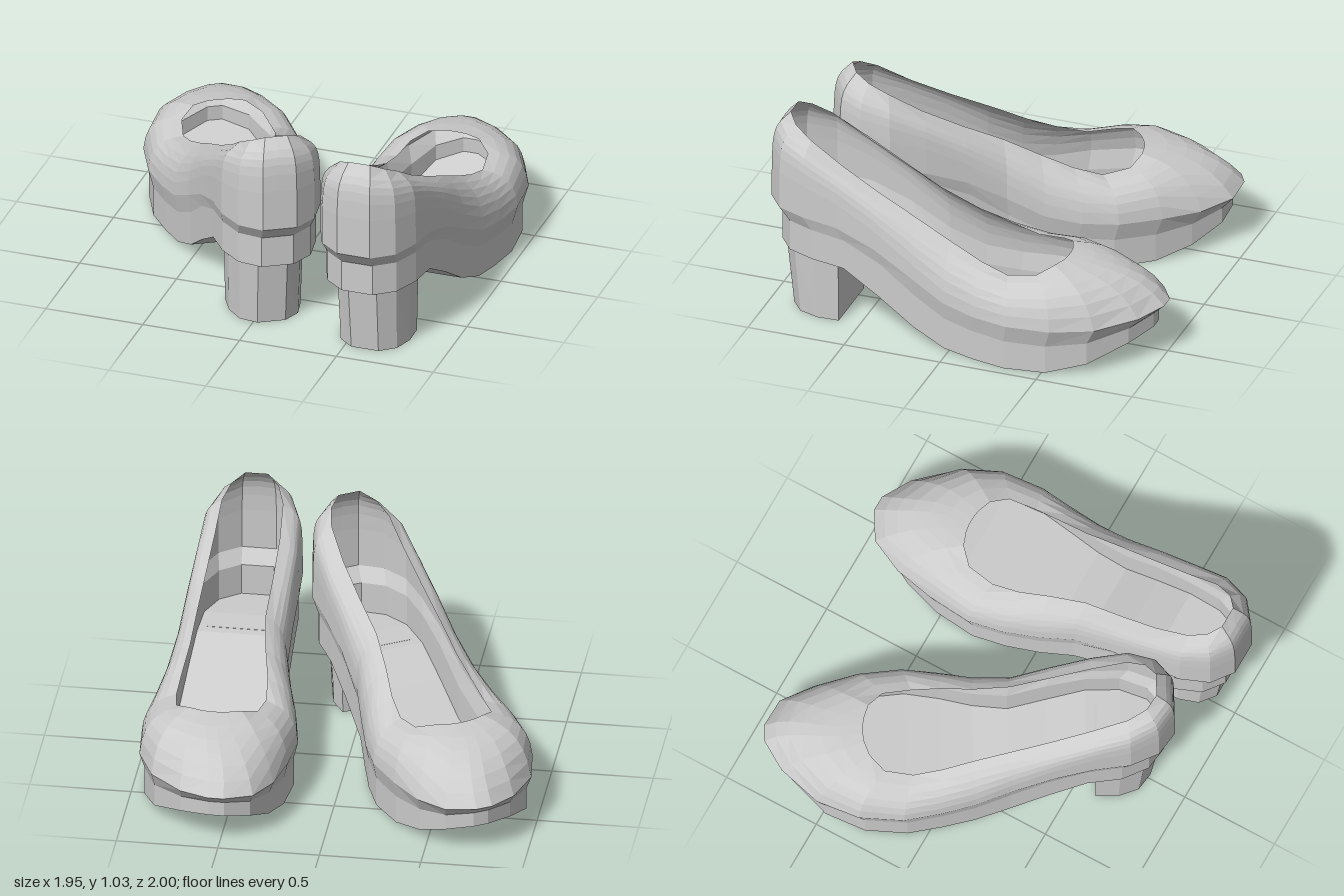
import * as THREE from 'three';

const material = new THREE.MeshStandardMaterial({ color: 0xcccccc, flatShading: true, side: THREE.DoubleSide });

// Half outline of the shoe, from the middle of the heel to the tip of the toe:
// half width, z, sole top y, widest y, bulge y, bulge inset, opening half width, opening y, opening z
const ROWS = [
  [0, 1.0, 0.50, 0.57, 0.96, 0, 0, 1.035, 0.91],
  [0.085, 1.0, 0.50, 0.57, 0.95, 0, 0.055, 1.035, 0.91],
  [0.19, 0.92, 0.50, 0.57, 0.93, 0, 0.115, 1.0, 0.86],
  [0.247, 0.78, 0.50, 0.57, 0.89, 0, 0.15, 0.95, 0.77],
  [0.257, 0.6, 0.48, 0.55, 0.80, 0, 0.16, 0.845, 0.6],
  [0.265, 0.4, 0.40, 0.48, 0.69, 0, 0.165, 0.74, 0.4],
  [0.275, 0.2, 0.27, 0.37, 0.57, 0, 0.168, 0.645, 0.2],
  [0.315, 0.02, 0.185, 0.28, 0.48, 0, 0.185, 0.555, 0.02],
  [0.355, -0.15, 0.16, 0.25, 0.43, 0.03, 0.21, 0.485, -0.14],
  [0.385, -0.33, 0.15, 0.245, 0.41, 0.06, 0.22, 0.44, -0.28],
  [0.365, -0.55, 0.15, 0.245, 0.44, 0.1, 0.20, 0.455, -0.42],
  [0.30, -0.75, 0.165, 0.245, 0.455, 0.2, 0.13, 0.488, -0.49],
  [0.18, -0.92, 0.2, 0.26, 0.455, 0.27, 0.06, 0.49, -0.515],
  [0.04, -1.0, 0.225, 0.275, 0.455, 0.3, 0.02, 0.49, -0.52],
];
// Underside height of the sole at each row
const UNDERSIDE = [0.34, 0.34, 0.34, 0.34, 0.325, 0.215, 0.09, 0.02, 0.005, 0, 0.005, 0.05, 0.12, 0.15];

const N = ROWS.length;
const { lerp, smoothstep } = THREE.MathUtils;

// Sideways curve of the centre line: waist outwards, toe inwards
function bend(z) {
  const waist = 0.02 * Math.exp(-Math.pow((z - 0.2) / 0.25, 2));
  return waist - 0.075 * smoothstep(-z, 0.6, 1.0);
}

// Full closed ring from a rule giving [half width, y, z] for each row
function ring(rule) {
  const half = ROWS.map((row, i) => rule(row, i));
  const right = half.map(([x, y, z]) => [x + bend(z), y, z]);
  const left = half.slice(1).map(([x, y, z]) => [-x + bend(z), y, z]).reverse();
  return [...right, ...left];
}

// Surface through stacked rings, optionally with a floor across the lowest; side -1 mirrors it
function loft(name, rings, side, floor) {
  const count = 2 * N - 1;
  const positions = rings.flat().flatMap(([x, y, z]) => [x * side, y, z]);
  const index = [];
  const quad = (a, b, c, d) => (side > 0
    ? index.push(a, b, c, a, c, d)
    : index.push(a, c, b, a, d, c));
  for (let k = 0; k < rings.length - 1; k++) {
    for (let j = 0; j < count; j++) {
      const a = k * count + j, b = k * count + (j + 1) % count;
      quad(a, b, b + count, a + count);
    }
  }
  if (floor) {
    for (let i = 0; i < N - 1; i++) quad(i, (count - i) % count, count - i - 1, i + 1);
  }
  const geometry = new THREE.BufferGeometry();
  geometry.setAttribute('position', new THREE.Float32BufferAttribute(positions, 3));
  geometry.setIndex(index);
  geometry.computeVertexNormals();
  const mesh = new THREE.Mesh(geometry, material);
  mesh.name = name;
  return mesh;
}

// Outline drawn in a little, used by the sole and the foot of the upper
const inset = (y) => (row, i) => [row[0] * 0.94, y(row, i), row[1] * 0.945];

// Upper: each row curves from the widest line over the bulge to the opening, fuller at the heel
function makeUpper(side) {
  const rings = [ring(inset((row) => row[2]))];
  const steps = 6;
  for (let s = 0; s <= steps; s++) {
    const t = s / steps;
    rings.push(ring(([w, z, , yWide, yBulge, k, tw, ty, tz]) => {
      const fullness = lerp(1.15, 2.8, smoothstep(z, 0, 0.7));
      const a = (1 - t) ** 2, b = 2 * t * (1 - t) * fullness, c = t * t;
      const mix = (p, q, r) => (a * p + b * q + c * r) / (a + b + c);
      return [
        mix(w, lerp(w, tw, k), tw),
        mix(yWide, yBulge, ty),
        mix(z, lerp(z, tz, k), tz),
      ];
    }));
  }
  return loft('upper', rings, side, false);
}

// Sole: a tray open to the inside of the shoe
function makeSole(side) {
  const bottom = ring(inset((row, i) => UNDERSIDE[i]));
  const top = ring(inset((row) => row[2]));
  return loft('sole', [bottom, top], side, true);
}

// D-shaped block, flat at the front and narrowing slightly to the ground
function makeHeel(side) {
  const front = 0.61, height = 0.33;
  const half = [[0.175, front], [0.178, 0.72], [0.145, 0.82], [0.07, 0.88]];
  const outline = [...half, ...half.map(([x, z]) => [-x, z]).reverse()];
  const shape = new THREE.Shape(outline.map(([x, z]) => new THREE.Vector2(x, -z)));
  const geometry = new THREE.ExtrudeGeometry(shape, { depth: height, bevelEnabled: false });
  geometry.rotateX(-Math.PI / 2);
  const p = geometry.attributes.position;
  for (let i = 0; i < p.count; i++) {
    const t = p.getY(i) / height;
    p.setX(i, p.getX(i) * (1 + 0.04 * t));
    p.setZ(i, front + (p.getZ(i) - front) * (1 + 0.13 * t));
  }
  geometry.translate(0.018 * side, 0, 0);
  geometry.computeVertexNormals();
  const mesh = new THREE.Mesh(geometry, material);
  mesh.name = 'heelBlock';
  return mesh;
}

function makeShoe(name, side) {
  const shoe = new THREE.Group();
  shoe.name = name;
  shoe.add(makeUpper(side), makeSole(side), makeHeel(side));
  return shoe;
}

export function createModel() {
  const model = new THREE.Group();
  model.name = 'pairOfShoes';

  const straight = makeShoe('straightShoe', 1);
  straight.position.set(0.587, 0, 0);

  // Mirrored partner, turned outwards
  const turned = makeShoe('turnedShoe', -1);
  turned.position.set(-0.353, 0, -0.005);
  turned.rotation.y = THREE.MathUtils.degToRad(30.7);

  model.add(straight, turned);
  return model;
}
